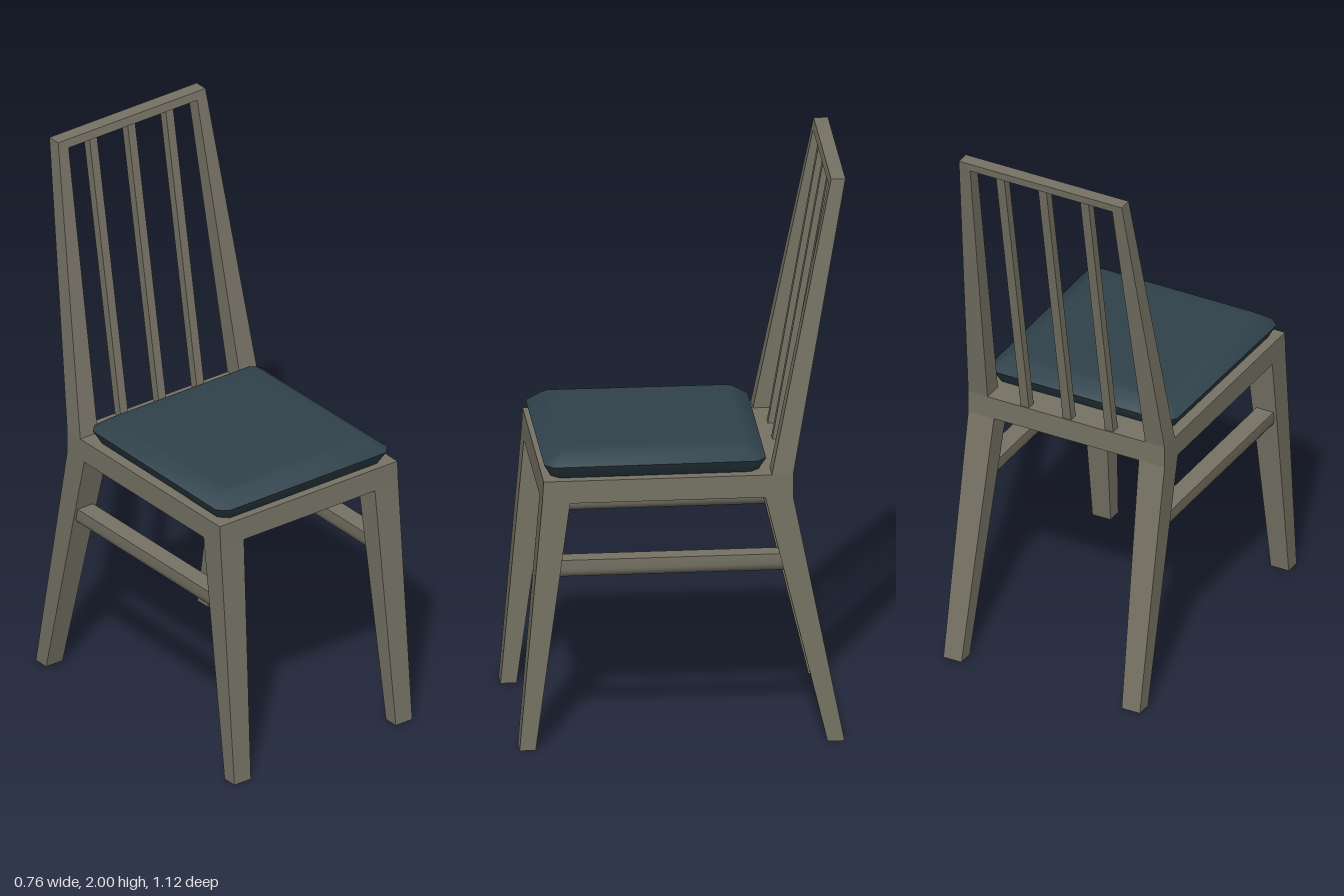
import * as THREE from 'three';
import { toCreasedNormals } from 'three/addons/utils/BufferGeometryUtils.js';

// Four-sided bar between two horizontal rectangles [x0, x1, z0, z1]
function taperedBar(y0, low, y1, high) {
  const g = new THREE.BoxGeometry(1, 1, 1);
  const p = g.attributes.position;
  for (let i = 0; i < p.count; i++) {
    const up = p.getY(i) > 0;
    const r = up ? high : low;
    p.setXYZ(i, p.getX(i) > 0 ? r[1] : r[0], up ? y1 : y0, p.getZ(i) > 0 ? r[3] : r[2]);
  }
  g.computeVertexNormals();
  return g;
}

// Rectangle mirrored to the other side
const side = (s, [a, b, c, d]) => (s > 0 ? [a, b, c, d] : [-b, -a, c, d]);

// Cushion skinned over cut-corner rings: [height, inset, corner cut]
function cushionGeometry() {
  const rings = [[0.962, 0.025, 0.03], [1.01, 0, 0.032], [1.05, 0.05, 0.02], [1.055, 0.065, 0.02], [1.055, 0.11, 0.02]];
  const pos = [];
  const index = [];
  for (const [y, inset, c] of rings) {
    const x = 0.368 - inset, f = 0.472 - inset, b = -0.285 + inset;
    const outline = [[x, f - c], [x, b + c], [x - c, b], [c - x, b], [-x, b + c], [-x, f - c], [c - x, f], [x - c, f]];
    for (const [px, pz] of outline) pos.push(px * (pz < 0 ? 0.985 : 1), y, pz);
  }
  for (let r = 0; r < rings.length - 1; r++) {
    for (let i = 0; i < 8; i++) {
      const a = r * 8 + i, b = r * 8 + (i + 1) % 8;
      index.push(a, b, b + 8, a, b + 8, a + 8);
    }
  }
  const top = (rings.length - 1) * 8;
  for (let i = 1; i < 7; i++) {
    index.push(top, top + i, top + i + 1);
    index.push(0, i + 1, i);
  }
  const g = new THREE.BufferGeometry();
  g.setAttribute('position', new THREE.Float32BufferAttribute(pos, 3));
  g.setIndex(index);
  return toCreasedNormals(g, 1.2);
}

// Stretcher with a flat top and a rounded underside, running along z
function stretcherGeometry() {
  const s = new THREE.Shape();
  s.moveTo(0.033, 0.677);
  s.lineTo(-0.033, 0.677);
  s.lineTo(-0.033, 0.643);
  s.absarc(0, 0.643, 0.033, Math.PI, Math.PI * 2, false);
  s.lineTo(0.033, 0.677);
  const g = new THREE.ExtrudeGeometry(s, { depth: 0.77, bevelEnabled: false, curveSegments: 4 });
  g.translate(0, 0, -0.347);
  return toCreasedNormals(g, 0.9);
}

export function createModel() {
  const wood = new THREE.MeshStandardMaterial({ color: 0x767264 });
  wood.name = 'weathered wood';
  const fabric = new THREE.MeshStandardMaterial({ color: 0x30424b });
  fabric.name = 'dark blue fabric';

  const chair = new THREE.Group();
  chair.name = 'chair';
  const add = (name, geometry, material = wood) => {
    const mesh = new THREE.Mesh(geometry, material);
    mesh.name = name;
    chair.add(mesh);
    return mesh;
  };

  // Seat and cushion
  add('seat', taperedBar(0.885, [-0.38, 0.38, -0.373, 0.483], 0.965, [-0.38, 0.38, -0.373, 0.478]));
  add('cushion', cushionGeometry(), fabric);

  // Legs, stretchers and back posts on each side
  for (const s of [1, -1]) {
    const label = s > 0 ? 'left' : 'right';
    add(label + 'FrontLeg', taperedBar(0, side(s, [0.31, 0.38, 0.505, 0.56]), 0.885, side(s, [0.28, 0.38, 0.388, 0.483])));
    add(label + 'BackLeg', taperedBar(0, side(s, [0.31, 0.38, -0.548, -0.49]), 0.885, side(s, [0.28, 0.38, -0.373, -0.278])));
    add(label + 'BackPost', taperedBar(0.965, side(s, [0.305, 0.38, -0.373, -0.3]), 2, side(s, [0.274, 0.315, -0.557, -0.508])));
    add(label + 'Stretcher', stretcherGeometry()).position.x = s * 0.337;
  }

  // Top rail and slats of the backrest
  add('topRail', taperedBar(1.97, [-0.314, 0.314, -0.552, -0.502], 2, [-0.314, 0.314, -0.557, -0.508]));
  for (const x of [-0.163, 0, 0.163]) {
    add('backSlat', taperedBar(0.96, [x - 0.016, x + 0.016, -0.368, -0.335], 1.975, [x - 0.016, x + 0.016, -0.545, -0.512]));
  }
  return chair;
}
